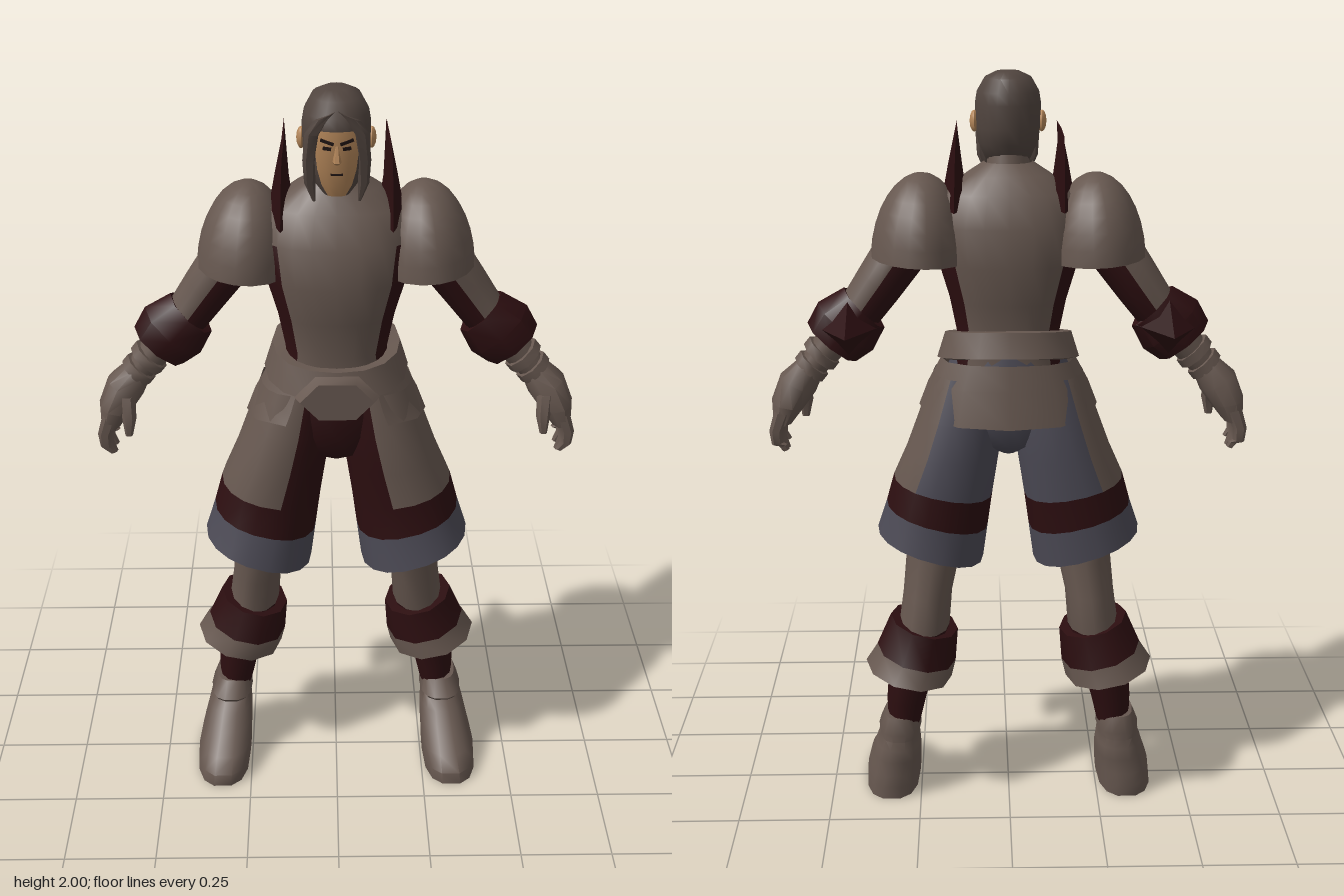
import * as THREE from 'three';
import { toCreasedNormals } from 'three/addons/utils/BufferGeometryUtils.js';

const mat = (name, color) => new THREE.MeshStandardMaterial({ name, color, side: THREE.DoubleSide });
const leather = mat('brown leather', 0x66574f);
const maroon = mat('dark maroon', 0x2c0e10);
const slate = mat('slate cloth', 0x4c4a55);
const skin = mat('skin', 0xb5875a);
const hair = mat('hair', 0x51453f);
const ink = mat('dark lines', 0x1c1211);

// Skin over rings listed top to bottom: [x, y, z, halfWidth, halfDepth, tilt, frontLift].
// paint(ring, degrees) picks a material index; 0 = +x, 90 = front, 270 = back; -1 leaves a gap.
function loft(rings, { n = 16, pow = 1, top = false, bottom = false, paint = () => 0 } = {}) {
  const pos = [], faces = {};
  const put = (i, th, ...tris) => {
    const m = paint(i, th);
    if (m >= 0) (faces[m] ??= []).push(...tris);
  };
  const shape = v => Math.sign(v) * Math.abs(v) ** pow;
  for (const [x, y, z, a, b, tilt = 0, lift = 0] of rings) {
    for (let j = 0; j < n; j++) {
      const th = (j / n) * Math.PI * 2;
      const c = shape(Math.cos(th)) * a, s = shape(Math.sin(th));
      pos.push(x + c * Math.cos(tilt), y + c * Math.sin(tilt) + lift * s, z + b * s);
    }
  }
  const last = rings.length - 1;
  for (let i = 0; i < last; i++) {
    for (let j = 0; j < n; j++) {
      const k = (j + 1) % n, a = i * n + j, d = i * n + k, b = a + n, c = d + n;
      put(i, ((j + 0.5) / n) * 360, a, d, b, b, d, c);
    }
  }
  const cap = (i, flip) => {
    const centre = pos.length / 3;
    pos.push(...rings[i].slice(0, 3));
    for (let j = 0; j < n; j++) {
      const a = i * n + j, b = i * n + ((j + 1) % n);
      put(i, ((j + 0.5) / n) * 360, centre, ...(flip ? [b, a] : [a, b]));
    }
  };
  if (top) cap(0, true);
  if (bottom) cap(last, false);
  const g = new THREE.BufferGeometry();
  g.setAttribute('position', new THREE.Float32BufferAttribute(pos, 3));
  const index = [];
  for (const m in faces) {
    g.addGroup(index.length, faces[m].length, +m);
    index.push(...faces[m]);
  }
  g.setIndex(index);
  return g;
}

export function createModel() {
  const model = new THREE.Group();
  model.name = 'warrior';

  const add = (name, geo, material, sides = [1]) => {
    for (const s of sides) {
      const g = geo.clone();
      if (s < 0) {
        g.scale(-1, 1, 1);
        const ix = g.index.array;
        for (let i = 0; i < ix.length; i += 3) [ix[i], ix[i + 1]] = [ix[i + 1], ix[i]];
      }
      // material lists use the groups, single materials ignore them
      if (!Array.isArray(material)) g.clearGroups();
      const mesh = new THREE.Mesh(toCreasedNormals(g, 0.85), material);
      mesh.name = sides.length > 1 ? (s > 0 ? 'left ' : 'right ') + name : name;
      model.add(mesh);
    }
  };
  const pair = (name, geo, material) => add(name, geo, material, [1, -1]);
  const box = (w, h, d, x, y, z, rz = 0, ry = 0) =>
    new THREE.BoxGeometry(w, h, d).rotateZ(rz).rotateY(ry).translate(x, y, z);

  // Head: hair all round, skin on the front
  add('head', loft([
    [0, 2, 0.02, 0.03, 0.04], [0, 1.985, 0.025, 0.06, 0.085], [0, 1.95, 0.03, 0.08, 0.104],
    [0, 1.92, 0.03, 0.085, 0.107], [0, 1.86, 0.03, 0.084, 0.104], [0, 1.82, 0.03, 0.077, 0.096],
    [0, 1.78, 0.04, 0.06, 0.078], [0, 1.75, 0.055, 0.035, 0.05],
  ], { n: 20, pow: 0.9, top: true, bottom: true,
    paint: (i, th) => (i >= 3 && th > 45 && th < 135 ? 1 : 0) }), [hair, skin]);
  pair('side lock', loft([
    [0.03, 1.955, 0.122, 0.03, 0.012, -0.4], [0.058, 1.91, 0.112, 0.02, 0.02], [0.066, 1.84, 0.096, 0.018, 0.022],
    [0.066, 1.78, 0.088, 0.014, 0.018], [0.056, 1.735, 0.09, 0.004, 0.006],
  ], { n: 6, top: true, bottom: true }), hair);
  pair('ear', new THREE.SphereGeometry(1, 8, 6).scale(0.012, 0.028, 0.018).translate(0.087, 1.875, 0.02), skin);
  pair('eyebrow', box(0.034, 0.007, 0.006, 0.024, 1.895, 0.133, 0.3, 0.2), ink);
  pair('eye', box(0.02, 0.008, 0.006, 0.024, 1.879, 0.132, 0.1, 0.2), ink);
  add('nose', loft([[0, 1.885, 0.13, 0.005, 0.006], [0, 1.845, 0.132, 0.011, 0.016], [0, 1.838, 0.125, 0.008, 0.008]],
    { n: 6, bottom: true }), skin);
  add('mouth', box(0.03, 0.004, 0.006, 0, 1.812, 0.125), ink);
  add('neck', loft([[0, 1.82, 0.01, 0.05, 0.055], [0, 1.74, 0, 0.058, 0.06], [0, 1.68, 0, 0.075, 0.07]]), leather);

  // Torso with dark side panels
  const isSide = th => Math.abs(Math.cos((th * Math.PI) / 180)) > 0.74;
  add('torso', loft([
    [0, 1.775, 0, 0.062, 0.062], [0, 1.745, -0.01, 0.11, 0.085], [0, 1.7, -0.01, 0.175, 0.115],
    [0, 1.62, -0.005, 0.2, 0.145], [0, 1.52, 0, 0.185, 0.157], [0, 1.42, 0, 0.155, 0.14],
    [0, 1.32, 0, 0.135, 0.122], [0, 1.24, 0, 0.15, 0.125],
  ], { n: 24, pow: 0.85, paint: (i, th) => (i >= 3 && isSide(th) ? 1 : 0) }), [leather, maroon]);
  pair('collar blade', loft([
    [0.133, 1.86, -0.02, 0.003, 0.185], [0.137, 1.77, -0.015, 0.018, 0.16], [0.14, 1.66, -0.01, 0.036, 0.125],
  ], { n: 4, top: true, bottom: true }), maroon);
  pair('shoulder guard', new THREE.SphereGeometry(1, 18, 8, 0, Math.PI * 2, 0, Math.PI / 2)
    .scale(0.125, 0.22, 0.165).rotateZ(0.06).translate(0.234, 1.53, -0.025), leather);

  // Belt, hip guard and buckle
  add('pelvis', loft([
    [0, 1.28, 0, 0.14, 0.125], [0, 1.2, 0, 0.18, 0.14], [0, 1.1, 0, 0.18, 0.14],
    [0, 1.03, 0, 0.1, 0.11], [0, 1, 0, 0.03, 0.06],
  ], { paint: (i, th) => (th > 180 ? 1 : 0), bottom: true }), [maroon, slate]);
  add('belt', loft([
    [0, 1.325, 0, 0.13, 0.115, 0, -0.03], [0, 1.325, 0, 0.168, 0.15, 0, -0.03],
    [0, 1.255, 0, 0.19, 0.17, 0, -0.035], [0, 1.245, 0, 0.15, 0.13, 0, -0.035],
  ], { pow: 0.9 }), leather);
  add('hip guard', loft([
    [0, 1.255, 0, 0.18, 0.15, 0, -0.01], [0, 1.19, 0, 0.215, 0.165, 0, -0.01],
    [0, 1.125, 0, 0.24, 0.178, 0, 0.025],
  ], { n: 12, pow: 0.85, paint: (i, th) => (th > 60 && th < 120 ? -1 : 0) }), leather);
  add('buckle', new THREE.CylinderGeometry(0.095, 0.11, 0.035, 6).rotateY(Math.PI / 6)
    .rotateX(Math.PI / 2).scale(1, 0.6, 1).translate(0, 1.235, 0.183), leather);

  // Wide short trousers: panels, dark band, slate hem
  const trouserPaint = (i, th) => {
    if (i === 4) return 2;
    if (i === 3) return 1;
    if (th < 92 || th > 300) return 0;
    return th < 185 ? 1 : 2;
  };
  pair('trouser leg', loft([
    [0.1, 1.22, 0, 0.1, 0.13], [0.125, 1.1, 0, 0.115, 0.15, 0.05], [0.15, 1, 0, 0.125, 0.156, 0.1],
    [0.178, 0.9, 0, 0.137, 0.156, 0.2], [0.195, 0.815, 0.005, 0.143, 0.16, 0.25],
    [0.215, 0.725, 0.012, 0.152, 0.17, 0.3],
  ], { n: 18, pow: 0.9, paint: trouserPaint }), [leather, maroon, slate]);

  // Legs, gaiters and boots
  pair('leg', loft([
    [0.2, 0.85, 0, 0.085, 0.11], [0.208, 0.7, -0.015, 0.074, 0.108], [0.224, 0.6, -0.04, 0.067, 0.1],
    [0.235, 0.5, -0.05, 0.07, 0.1], [0.265, 0.4, -0.06, 0.068, 0.085], [0.288, 0.28, -0.055, 0.055, 0.074],
    [0.297, 0.2, -0.055, 0.045, 0.065],
  ], { n: 12, paint: i => (i >= 3 ? 1 : 0) }), [leather, maroon]);
  pair('gaiter', loft([
    [0.233, 0.505, -0.045, 0.06, 0.09, 0.25], [0.235, 0.505, -0.045, 0.096, 0.115, 0.25],
    [0.258, 0.415, -0.05, 0.112, 0.13, 0.24], [0.28, 0.367, -0.055, 0.122, 0.145, 0.22],
  ], { n: 10, paint: i => (i === 2 ? 1 : 0) }), [maroon, leather]);
  pair('boot', loft([
    [0.305, 0.24, -0.055, 0.045, 0.07], [0.308, 0.195, -0.045, 0.06, 0.095], [0.31, 0.172, -0.055, 0.052, 0.08],
    [0.313, 0.15, -0.045, 0.062, 0.1], [0.318, 0.11, -0.025, 0.068, 0.115], [0.325, 0.07, 0.008, 0.073, 0.152],
    [0.33, 0.035, 0.026, 0.077, 0.172], [0.333, 0, 0.028, 0.077, 0.172],
  ], { n: 14, pow: 0.75, top: true }), leather);
  pair('sole', loft([[0.333, 0.003, 0.028, 0.076, 0.171], [0.333, 0, 0.028, 0.076, 0.171]],
    { n: 14, pow: 0.75, bottom: true }), maroon);

  // Arms, dark along the underside
  pair('arm', loft([
    [0.2, 1.63, 0, 0.07, 0.08, 0.8], [0.28, 1.545, -0.01, 0.072, 0.078, 0.8], [0.34, 1.46, -0.02, 0.066, 0.07, 0.8],
    [0.39, 1.39, -0.02, 0.06, 0.062, 0.8], [0.44, 1.335, -0.02, 0.05, 0.055, 0.75], [0.52, 1.24, -0.015, 0.038, 0.042, 0.75],
  ], { n: 12, paint: (i, th) => (i < 4 && th > 100 && th < 260 ? 1 : 0) }), [leather, maroon]);
  pair('elbow cuff', loft([
    [0.385, 1.395, -0.02, 0.055, 0.055, 0.8], [0.38, 1.395, -0.02, 0.075, 0.07, 0.8],
    [0.43, 1.345, -0.02, 0.096, 0.085, 0.75], [0.468, 1.302, -0.02, 0.082, 0.075, 0.7],
    [0.468, 1.302, -0.02, 0.04, 0.045, 0.7],
  ], { n: 8 }), maroon);
  pair('elbow spike', new THREE.ConeGeometry(0.085, 0.15, 4).rotateX(-Math.PI / 2)
    .translate(0.42, 1.35, -0.125), maroon);
  for (const [x, y, r] of [[0.497, 1.27, 0.052], [0.525, 1.235, 0.048]]) {
    pair('wrist band', loft([
      [x - 0.01, y + 0.012, -0.015, 0.035, 0.035, 0.75], [x - 0.008, y + 0.01, -0.015, r, r + 0.004, 0.75],
      [x + 0.008, y - 0.01, -0.015, r, r + 0.004, 0.75], [x + 0.01, y - 0.012, -0.015, 0.035, 0.035, 0.75],
    ], { n: 8 }), leather);
  }

  // Gloved hand with hanging fingers
  pair('hand', loft([
    [0.525, 1.235, -0.015, 0.038, 0.045, 0.75], [0.562, 1.19, -0.012, 0.052, 0.066, 0.5],
    [0.59, 1.135, -0.01, 0.046, 0.074, 0.2], [0.605, 1.085, -0.01, 0.028, 0.066],
  ], { n: 10, pow: 0.85, bottom: true }), leather);
  for (const [z, tip] of [[-0.066, 1.03], [-0.03, 1.005], [0.007, 1], [0.04, 1.015]]) {
    pair('finger', loft([
      [0.602, 1.12, z, 0.022, 0.019, 0.2], [0.62, 1.07, z, 0.019, 0.018],
      [0.618, 1.035, z, 0.016, 0.016, -0.2], [0.6, tip, z, 0.009, 0.01, -0.4],
    ], { n: 6, bottom: true }), leather);
  }
  pair('thumb', loft([
    [0.555, 1.18, 0.035, 0.022, 0.022], [0.55, 1.125, 0.058, 0.019, 0.019], [0.553, 1.075, 0.06, 0.01, 0.01],
  ], { n: 6, top: true, bottom: true }), leather);

  return model;
}
